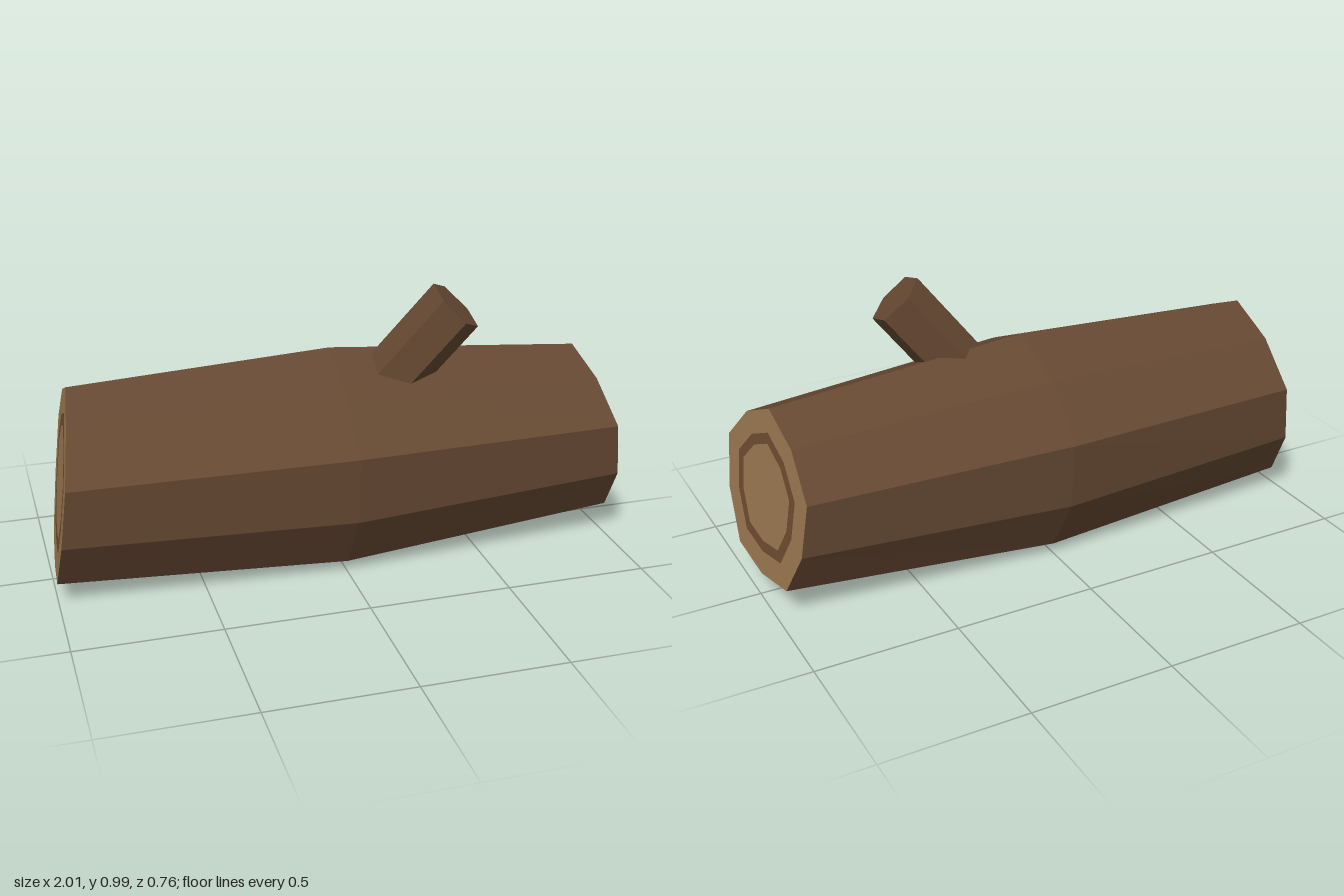
import * as THREE from 'three';

const BARK = 0x654832, WOOD = 0x9b7850, RING = 0x6f4c30;
const CENTRE_Y = 0.3775;

// Ten-sided log outline as [z, y], running top -> front -> bottom -> back
const OUTLINE = [
  [0, 0.755], [0.21, 0.66], [0.38, 0.49], [0.36, 0.25], [0.23, 0.04],
  [0, 0], [-0.24, 0.04], [-0.36, 0.25], [-0.38, 0.49], [-0.22, 0.665],
];

// Scaled outline lying on the slanted plane x = x0 + slopeY * (y - centre) + slopeZ * z
function section({ x0, slopeY, slopeZ, scale }, inset = 1) {
  return OUTLINE.map(([pz, py]) => {
    const z = pz * scale * inset, dy = (py - CENTRE_Y) * scale * inset;
    return new THREE.Vector3(x0 + slopeY * dy + slopeZ * z, CENTRE_Y + dy, z);
  });
}

// Flat facets joining successive sections
function loft(sections) {
  const pts = [];
  for (let s = 0; s < sections.length - 1; s++) {
    const a = sections[s], b = sections[s + 1];
    for (let i = 0; i < a.length; i++) {
      const j = (i + 1) % a.length;
      pts.push(a[i], a[j], b[j], a[i], b[j], b[i]);
    }
  }
  return facets(pts);
}

function cap(loop) {
  const c = loop.reduce((sum, p) => sum.add(p), new THREE.Vector3()).divideScalar(loop.length);
  return facets(loop.flatMap((p, i) => [c, p, loop[(i + 1) % loop.length]]));
}

function facets(pts) {
  const geometry = new THREE.BufferGeometry().setFromPoints(pts);
  geometry.computeVertexNormals();
  return geometry;
}

function mesh(name, geometry, color) {
  const m = new THREE.Mesh(geometry, new THREE.MeshStandardMaterial({ color, flatShading: true }));
  m.name = name;
  return m;
}

export function createModel() {
  const log = new THREE.Group();
  log.name = 'log';

  // Bark, widest in the middle, with slanted saw cuts
  const rightEnd = { x0: -0.95, slopeY: 0.122, slopeZ: -0.083, scale: 0.868 };
  const middle = { x0: 0, slopeY: 0, slopeZ: 0, scale: 1 };
  const leftEnd = { x0: 0.955, slopeY: -0.118, slopeZ: 0.09, scale: 0.795 };
  log.add(mesh('bark', loft([rightEnd, middle, leftEnd].map((e) => section(e))), BARK));

  // Cut faces: sapwood, growth ring and heartwood
  for (const [side, end] of [['right', rightEnd], ['left', leftEnd]]) {
    const loops = [1, 0.72, 0.59].map((inset) => {
      const loop = section(end, inset);
      return side === 'right' ? loop.reverse() : loop;
    });
    const face = new THREE.Group();
    face.name = side + 'CutFace';
    face.add(
      mesh('sapwood', loft([loops[0], loops[1]]), WOOD),
      mesh('growthRing', loft([loops[1], loops[2]]), RING),
      mesh('heartwood', cap(loops[2]), WOOD),
    );
    log.add(face);
  }

  // Six-sided branch stub, leaning to the left and forward
  const tip = [
    [0.34, 0.985, 0.1], [0.34, 0.955, 0.205], [0.41, 0.88, 0.237],
    [0.48, 0.842, 0.17], [0.48, 0.873, 0.065], [0.405, 0.95, 0.033],
  ].map((p) => new THREE.Vector3(...p));
  const lean = new THREE.Vector3(0.286, 0.377, 0.11);
  const base = tip.map((p) => p.clone().sub(lean));
  const branch = new THREE.Group();
  branch.name = 'branch';
  branch.add(mesh('branchBark', loft([base, tip]), BARK), mesh('branchTip', cap(tip), BARK));
  log.add(branch);

  return log;
}
